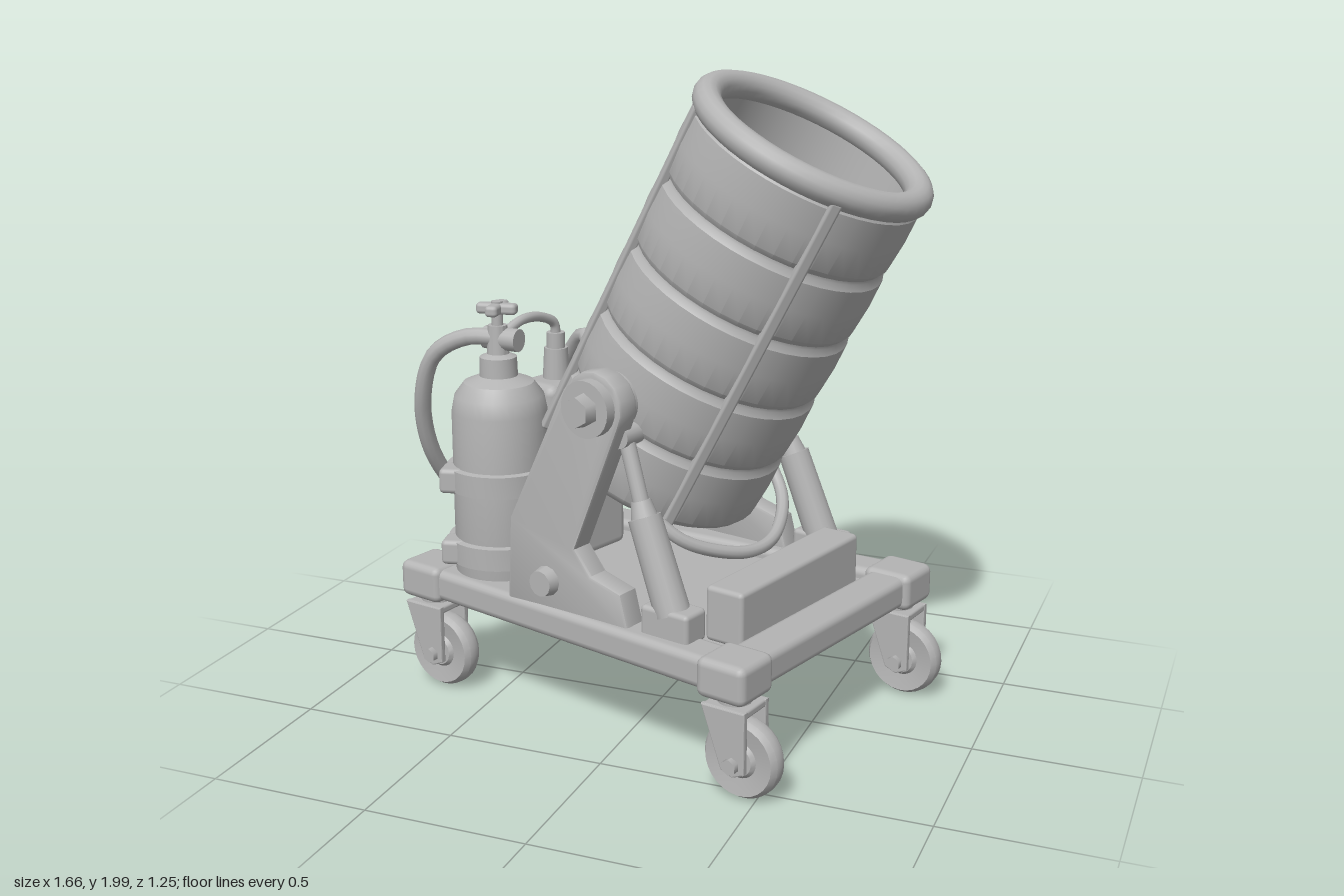
import * as THREE from 'three';
import { toCreasedNormals } from 'three/addons/utils/BufferGeometryUtils.js';
import { RoundedBoxGeometry } from 'three/addons/geometries/RoundedBoxGeometry.js';

const V = (x, y, z) => new THREE.Vector3(x, y, z);
const UP = V(0, 1, 0);
const YAW = -0.262;

export function createModel() {
  const metal = new THREE.MeshStandardMaterial({ color: 0xb4b4b4 });
  metal.name = 'grey metal';
  const model = new THREE.Group();
  model.name = 'mortarCart';

  const group = (name, parent, x = 0, y = 0, z = 0, yaw = 0) => {
    const g = new THREE.Group();
    g.name = name;
    g.position.set(x, y, z);
    g.rotation.y = yaw;
    parent.add(g);
    return g;
  };
  const add = (parent, name, geo, x = 0, y = 0, z = 0, yaw = 0) => {
    const m = new THREE.Mesh(geo, metal);
    m.name = name;
    m.position.set(x, y, z);
    m.rotation.y = yaw;
    parent.add(m);
    return m;
  };
  const box = (w, h, d, r = 0.015) => new RoundedBoxGeometry(w, h, d, 2, r);
  const rod = (parent, name, a, b, r0, r1 = r0, sides = 16) => {
    const m = add(parent, name, new THREE.CylinderGeometry(r1, r0, a.distanceTo(b), sides));
    m.position.copy(a).add(b).multiplyScalar(0.5);
    m.quaternion.setFromUnitVectors(UP, b.clone().sub(a).normalize());
    return m;
  };
  const tube = (parent, name, pts, r) =>
    add(parent, name, new THREE.TubeGeometry(new THREE.CatmullRomCurve3(pts.map(p => V(...p))), 48, r, 10));
  const lathe = (pts, seg = 32, crease = 0.5) =>
    toCreasedNormals(new THREE.LatheGeometry(pts.map(p => new THREE.Vector2(...p)), seg), crease);
  const plate = (pts, depth, bevel) => new THREE.ExtrudeGeometry(
    new THREE.Shape(pts.map(p => new THREE.Vector2(...p))),
    { depth, bevelEnabled: bevel > 0, bevelSize: bevel, bevelThickness: bevel, bevelSegments: 2 });

  // Skewed four-cornered frame
  const corners = [[-0.48, -0.54], [-0.735, 0.14], [0.42, 0.51], [0.67, -0.35]];
  const frame = group('frame', model);
  add(frame, 'deck', plate(corners, 0.04, 0).rotateX(Math.PI / 2), 0, 0.375, 0);
  corners.forEach(([x, z], i) => {
    const [nx, nz] = corners[(i + 1) % 4];
    add(frame, 'cornerBlock', box(0.165, 0.12, 0.165, 0.025), x, 0.36, z, YAW);
    add(frame, 'rail', box(Math.hypot(nx - x, nz - z), 0.1, 0.13, 0.025),
      (x + nx) / 2, 0.36, (z + nz) / 2, -Math.atan2(nz - z, nx - x));
  });

  // Three swivel casters
  const tyre = lathe([[0, -0.04], [0.045, -0.04], [0.055, -0.028], [0.085, -0.032], [0.108, -0.036], [0.12, -0.018],
    [0.122, 0], [0.12, 0.018], [0.108, 0.036], [0.085, 0.032], [0.055, 0.028], [0.045, 0.04], [0, 0.04]], 28)
    .rotateX(Math.PI / 2);
  const forkSide = plate([[-0.1, 0.16], [-0.035, -0.02], [0, -0.035], [0.035, -0.02], [0.035, 0.16]], 0.012, 0.004);
  for (const [x, z] of corners.slice(1)) {
    const caster = group('caster', model, x + 0.037, 0.122, z + 0.015, YAW * 0.8);
    add(caster, 'wheel', tyre);
    for (const s of [-1, 1]) {
      add(caster, 'forkSide', forkSide, 0, 0, s * 0.059 - 0.006);
      rod(caster, 'axleNut', V(0, 0, s * 0.06), V(0, 0, s * 0.088), 0.024, 0.024, 6);
    }
    add(caster, 'forkTop', box(0.14, 0.025, 0.135, 0.008), -0.033, 0.152, 0);
    rod(caster, 'swivel', V(-0.033, 0.15, 0), V(-0.033, 0.2, 0), 0.05);
  }

  // Barrel: padded bands outside, open bore inside
  const base = V(-0.07, 0.76, -0.06), muzzle = V(0.463, 1.79, 0);
  const axis = muzzle.clone().sub(base), len = axis.length();
  const barrel = group('barrel', model, base.x, base.y, base.z);
  barrel.quaternion.setFromUnitVectors(UP, axis.normalize());
  const profile = [[0, 0], [0.3, 0], [0.335, 0.015]];
  const bands = 5, bandLen = (len - 0.04) / bands;
  for (let i = 0; i < bands; i++) {
    for (const [t, r] of [[0.02, 0.347], [0.1, 0.358], [0.5, 0.363], [0.9, 0.36], [0.98, 0.348]]) {
      profile.push([r, 0.02 + (i + t) * bandLen]);
    }
  }
  profile.push([0.34, len], [0.315, len], [0.312, 0.12], [0.28, 0.08], [0, 0.08]);
  add(barrel, 'barrelShell', lathe(profile, 40));
  add(barrel, 'muzzleRing', new THREE.TorusGeometry(0.336, 0.042, 14, 48).rotateX(Math.PI / 2), 0, len, 0);
  for (let i = 0; i < 4; i++) {
    const a = 0.56 + i * Math.PI / 2;
    add(barrel, 'barrelSeam', box(0.035, len - 0.03, 0.03, 0.008),
      0.358 * Math.sin(a), len / 2, 0.358 * Math.cos(a), a);
  }

  // Cradle, aligned with the turned cart
  const cradle = group('cradle', model, 0.06, 0, -0.05, YAW);
  const arm = [[-0.33, 0.39], [-0.315, 0.66], [-0.1, 1.09]];
  for (let i = 0; i <= 8; i++) {
    const a = 2.75 - i * 0.41;
    arm.push([0.095 * Math.cos(a), 1.06 + 0.095 * Math.sin(a)]);
  }
  arm.push([-0.085, 0.61], [-0.02, 0.53], [0.09, 0.5], [0.12, 0.39]);
  const armGeo = toCreasedNormals(plate(arm, 0.06, 0.01), 0.6);
  for (const s of [-1, 1]) {
    const side = group('cradleSide', cradle);
    add(side, 'supportArm', armGeo, 0, 0, s * 0.425 - 0.03);
    rod(side, 'trunnion', V(0, 1.06, s * 0.3), V(0, 1.06, s * 0.5), 0.085, 0.085, 24);
    rod(side, 'trunnionNut', V(0, 1.06, s * 0.49), V(0, 1.06, s * 0.54), 0.052, 0.045, 6);
    rod(side, 'lowerBolt', V(-0.18, 0.49, s * 0.44), V(-0.18, 0.49, s * 0.5), 0.052, 0.04, 12);
    // Elevating strut
    const foot = V(0.25, 0.47, s * 0.41), mid = V(0.14, 0.74, s * 0.4), top = V(0.06, 0.97, s * 0.385);
    add(side, 'strutFoot', box(0.17, 0.1, 0.1), 0.25, 0.445, s * 0.41);
    rod(side, 'strutBody', foot, mid, 0.054, 0.05);
    rod(side, 'strutCollar', mid, mid.clone().lerp(top, 0.2), 0.04, 0.03);
    rod(side, 'strutRod', mid, top, 0.024);
    rod(side, 'strutPin', V(0.06, 0.97, s * 0.33), V(0.06, 0.97, s * 0.42), 0.035);
  }
  tube(cradle, 'underBarrelHose', [[0.06, 0.76, 0.34], [0.18, 0.64, 0.27], [0.26, 0.575, 0.12], [0.28, 0.56, 0],
    [0.26, 0.575, -0.12], [0.18, 0.64, -0.27], [0.06, 0.76, -0.34]], 0.02);

  // Equipment box along the front edge
  add(model, 'equipmentBox', box(0.13, 0.17, 0.65, 0.015), 0.42, 0.465, 0.06, YAW);

  // Gas bottle with straps and valve
  const bottle = group('gasBottle', model, -0.515, 0, 0.09, YAW);
  add(bottle, 'bottleBody', lathe([[0, 0.36], [0.145, 0.36], [0.15, 0.38], [0.15, 0.93], [0.14, 0.98], [0.11, 1.02],
    [0.06, 1.04], [0.058, 1.1], [0.035, 1.11], [0.03, 1.2], [0, 1.2]]));
  for (const y of [0.485, 0.72]) {
    add(bottle, 'strap', lathe([[0.14, y - 0.04], [0.17, y - 0.035], [0.17, y + 0.035], [0.14, y + 0.04]]));
    add(bottle, 'strapClasp', box(0.08, 0.08, 0.09), -0.08, y, 0.13, 0.5);
  }
  rod(bottle, 'valveBody', V(-0.05, 1.155, 0), V(0.07, 1.155, -0.02), 0.036);
  rod(bottle, 'valveStem', V(0, 1.18, 0), V(0, 1.275, 0), 0.018);
  for (const yaw of [0.4, 0.4 + Math.PI / 2]) {
    add(bottle, 'valveHandle', box(0.13, 0.035, 0.04, 0.012), 0, 1.252, 0, yaw);
  }

  // Flat canister beside the bottle
  const canister = group('canister', model, -0.415, 0, -0.23, YAW * 1.2);
  add(canister, 'canisterBody', box(0.17, 0.62, 0.36, 0.035), 0, 0.67, 0);
  rod(canister, 'hosePort', V(0, 0.96, -0.11), V(0, 1.05, -0.11), 0.04);
  rod(canister, 'fillerNeck', V(0, 0.96, 0.07), V(0, 1.08, 0.07), 0.045, 0.038);
  rod(canister, 'fillerCap', V(0, 1.06, 0.07), V(0, 1.13, 0.07), 0.03);

  // Hoses between bottle and canister
  tube(model, 'mainHose', [[-0.5, 1.16, 0.09], [-0.62, 1.155, 0.105], [-0.73, 1.09, 0.11], [-0.795, 0.92, 0.08],
    [-0.805, 0.72, 0], [-0.775, 0.58, -0.12], [-0.715, 0.56, -0.28], [-0.65, 0.66, -0.4], [-0.58, 0.85, -0.45],
    [-0.5, 1.01, -0.42], [-0.42, 1.08, -0.36], [-0.385, 1.02, -0.335]], 0.027);
  tube(model, 'thinPipe', [[-0.5, 1.17, 0.08], [-0.475, 1.2, 0], [-0.455, 1.19, -0.1], [-0.438, 1.16, -0.155],
    [-0.437, 1.1, -0.163]], 0.016);

  return model;
}
